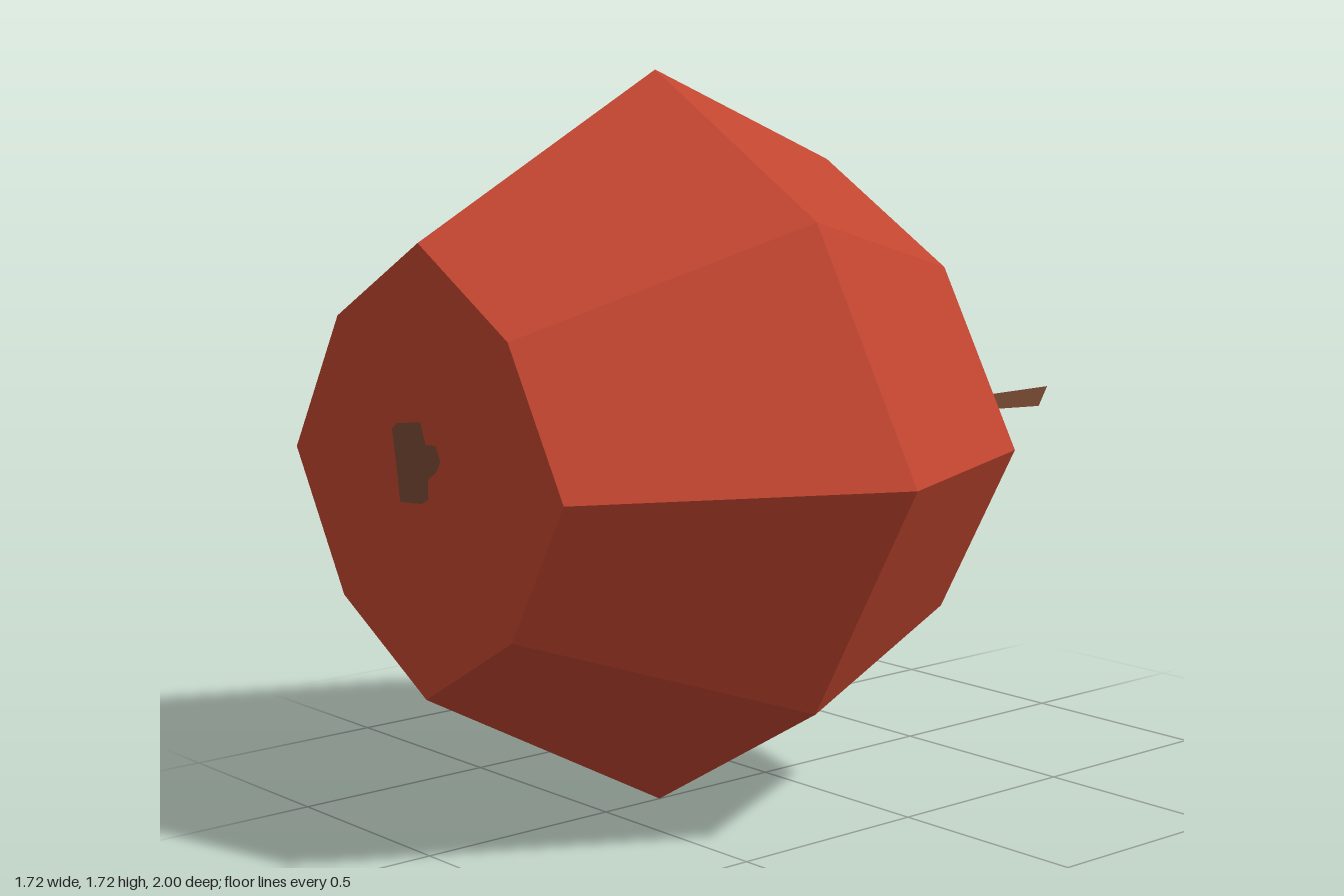
import * as THREE from 'three';

const CENTER_Y = 0.862;

// Flat-shaded geometry from polygons; each polygon is a fan with one shared normal
function facetGeometry(polygons) {
  const positions = [], normals = [];
  for (const p of polygons) {
    const normal = new THREE.Vector3();
    for (let i = 1; i < p.length - 1; i++) {
      const a = p[i].clone().sub(p[0]), b = p[i + 1].clone().sub(p[0]);
      normal.add(a.cross(b));
    }
    normal.normalize();
    for (let i = 1; i < p.length - 1; i++) {
      for (const v of [p[0], p[i], p[i + 1]]) {
        positions.push(v.x, v.y, v.z);
        normals.push(normal.x, normal.y, normal.z);
      }
    }
  }
  const g = new THREE.BufferGeometry();
  g.setAttribute('position', new THREE.Float32BufferAttribute(positions, 3));
  g.setAttribute('normal', new THREE.Float32BufferAttribute(normals, 3));
  return g;
}

// Eight-point ring, counter-clockwise from the front, with diagonals pulled in
function ring(radius, z) {
  return Array.from({ length: 8 }, (_, i) => {
    const r = i % 2 ? radius * 0.897 : radius;
    const t = (i * Math.PI) / 4;
    return new THREE.Vector3(r * Math.cos(t), CENTER_Y + r * Math.sin(t), z);
  });
}

export function createModel() {
  const model = new THREE.Group();
  model.name = 'apple';

  const skin = new THREE.MeshStandardMaterial({ color: 0xc0452f });
  skin.name = 'red skin';
  const bark = new THREE.MeshStandardMaterial({ color: 0x794a34, side: THREE.DoubleSide });
  bark.name = 'brown stem';

  const add = (name, geometry, material) => {
    const mesh = new THREE.Mesh(geometry, material);
    mesh.name = name;
    model.add(mesh);
    return mesh;
  };

  // Fruit body: flat front, widest ring, back rim
  const front = ring(0.505, 1), middle = ring(0.862, 0.337), back = ring(0.636, -0.2);
  const sides = [front];
  for (const [a, b] of [[front, middle], [middle, back]]) {
    for (let i = 0; i < 8; i++) {
      const j = (i + 1) % 8;
      sides.push([a[i], b[i], b[j], a[j]]);
    }
  }
  add('body', facetGeometry(sides), skin);

  // Hollow around the stem: four broad facets meeting at a sunken point
  const apex = new THREE.Vector3(0, CENTER_Y, -0.073);
  const hollow = [];
  for (let i = 0; i < 8; i += 2) {
    hollow.push([apex, back[(i + 2) % 8], back[i + 1], back[i]]);
  }
  add('stemHollow', facetGeometry(hollow), skin);

  // Stem: thin upright blade widening towards its tip
  add('stem', facetGeometry([[
    apex,
    new THREE.Vector3(0, 0.865, -1),
    new THREE.Vector3(0, 0.815, -0.968),
  ]]), bark);

  // Blossom mark on the flat front
  const outline = [
    [-0.11, 0.95], [-0.09, 0.965], [0, 0.977], [0.018, 0.93], [0.055, 0.932], [0.073, 0.9],
    [0.055, 0.872], [0.025, 0.855], [0.025, 0.81], [0, 0.797], [-0.083, 0.79], [-0.095, 0.87],
  ];
  const mark = new THREE.ShapeGeometry(new THREE.Shape(outline.map(([x, y]) => new THREE.Vector2(x, y))));
  add('blossomMark', mark, bark).position.z = 1.002;

  return model;
}
